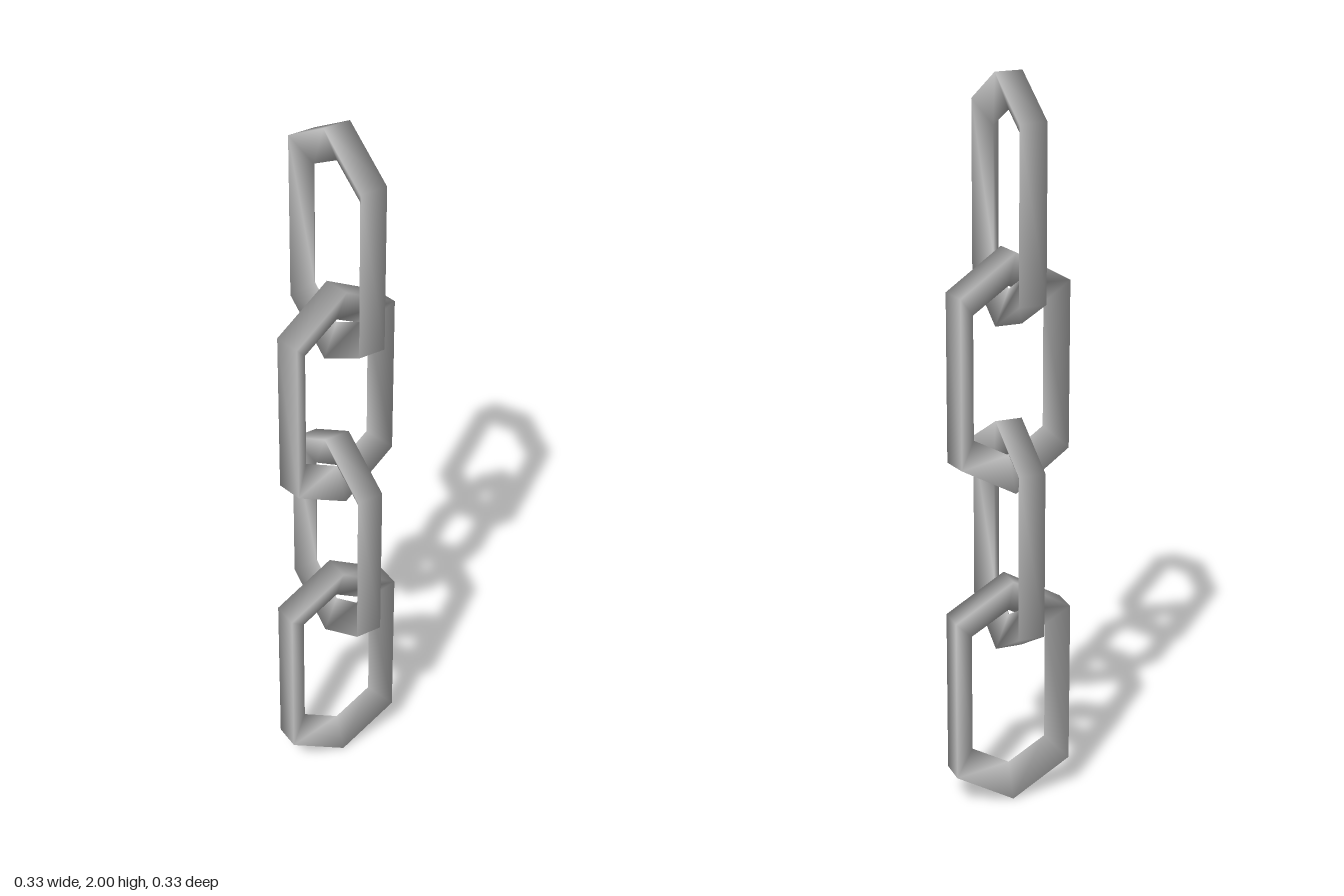
import * as THREE from 'three';

// One closed link: a triangular bar swept around a stretched hexagon
function linkGeometry() {
  const ring = (w, shoulder, apex) => [
    [0, apex], [w, shoulder], [w, -shoulder],
    [0, -apex], [-w, -shoulder], [-w, shoulder],
  ];
  const outer = ring(0.163, 0.2285, 0.325);
  const inner = ring(0.105, 0.168, 0.229);
  const halfDepth = 0.0365;

  const positions = [];
  const indices = [];
  for (let i = 0; i < 6; i++) {
    // Cross-section: outer front, outer back, inner ridge
    positions.push(...outer[i], halfDepth, ...outer[i], -halfDepth, ...inner[i], 0);
    const j = (i + 1) % 6;
    for (let k = 0; k < 3; k++) {
      const m = (k + 1) % 3;
      const a = i * 3 + k, b = j * 3 + k, c = j * 3 + m, d = i * 3 + m;
      indices.push(a, b, c, a, c, d);
    }
  }
  const geometry = new THREE.BufferGeometry();
  geometry.setAttribute('position', new THREE.Float32BufferAttribute(positions, 3));
  geometry.setIndex(indices);
  geometry.computeVertexNormals();
  return geometry;
}

export function createModel() {
  const chain = new THREE.Group();
  chain.name = 'chain';
  const steel = new THREE.MeshStandardMaterial({ color: 0xc0c0c0 });
  steel.name = 'steel grey';
  const geometry = linkGeometry();

  // Links from bottom to top, alternating quarter turns; the third hangs askew
  const heights = [0.325, 0.77, 1.225, 1.675];
  const turns = [0, 90, 10.5, 90];
  turns.forEach((degrees, i) => {
    const link = new THREE.Mesh(geometry, steel);
    link.name = `link${i + 1}`;
    link.position.y = heights[i];
    link.rotation.y = THREE.MathUtils.degToRad(degrees);
    chain.add(link);
  });
  return chain;
}
